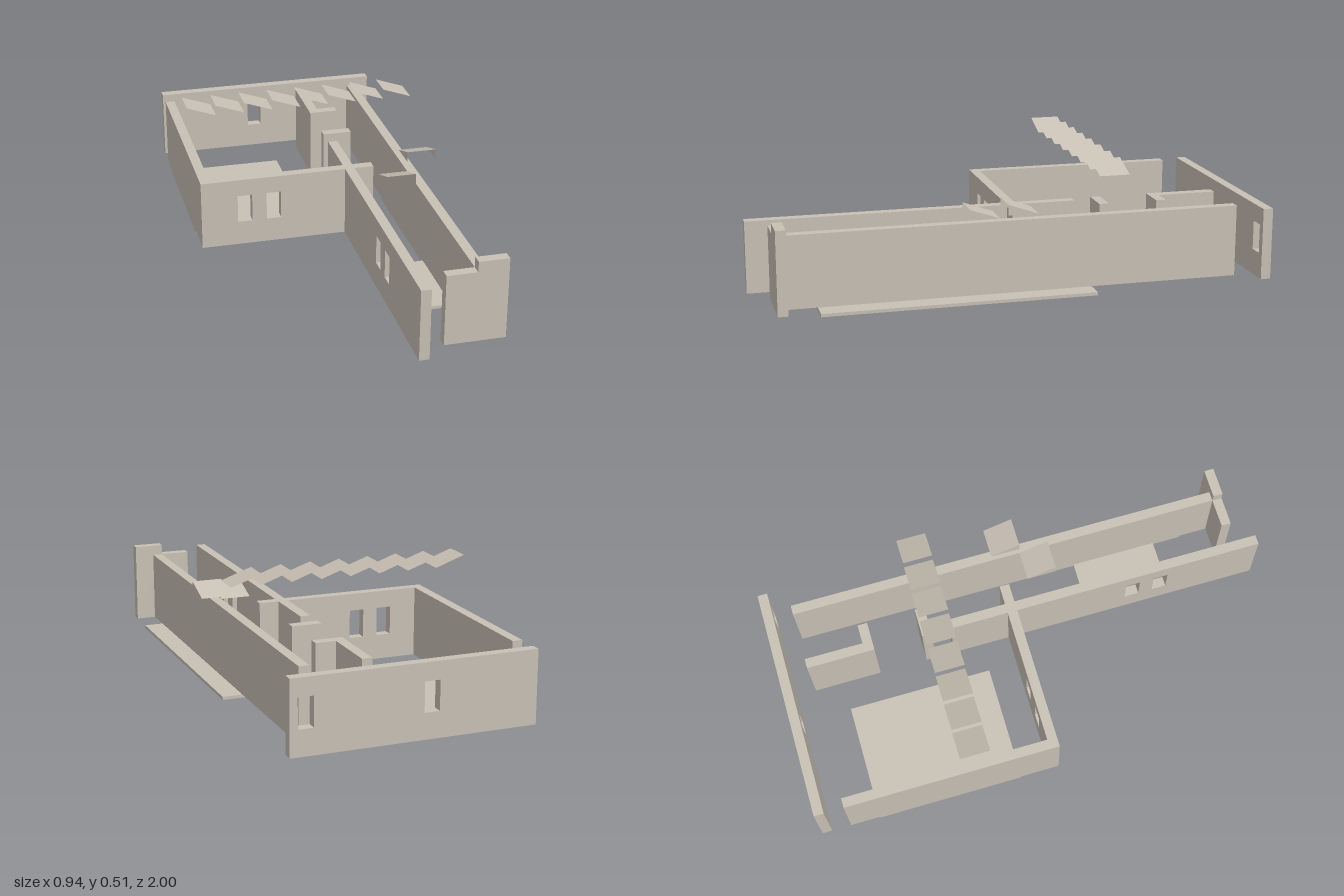
import * as THREE from 'three';

const U = 2 / 17;      // plan grid module
const T = U / 3;       // wall thickness
const BASE = 0.0125;   // top of the slabs, foot of the walls
const TOP = 0.295;     // wall top
const RISE = 0.35 * U; // rise of louvers, hoods and the parapet step
const SILL = 0.112, HEAD = 0.226;

export function createModel() {
  const model = new THREE.Group();
  model.name = 'house';
  const stone = new THREE.MeshStandardMaterial({ color: 0xc8c0b4, flatShading: true });
  const sheet = new THREE.MeshStandardMaterial({ color: 0xc8c0b4, flatShading: true, side: THREE.DoubleSide });

  const add = (name, geometry, material = stone) => {
    const mesh = new THREE.Mesh(geometry, material);
    mesh.name = name;
    model.add(mesh);
  };

  const block = (name, x0, x1, y0, y1, z0, z1) => add(name,
    new THREE.BoxGeometry(x1 - x0, y1 - y0, z1 - z0)
      .translate((x0 + x1) / 2, (y0 + y1) / 2, (z0 + z1) / 2));

  // Upright panel from a to b, pierced by half-module windows at the given centres
  const panel = (a, b, windows) => {
    const rect = (Kind, x0, x1, y0, y1) => new Kind([[x0, y0], [x1, y0], [x1, y1], [x0, y1]]
      .map(([x, y]) => new THREE.Vector2(x, y)));
    const shape = rect(THREE.Shape, a, b, BASE, TOP);
    for (const c of windows) shape.holes.push(rect(THREE.Path, c - U / 4, c + U / 4, SILL, HEAD));
    return new THREE.ExtrudeGeometry(shape, { depth: T, bevelEnabled: false });
  };
  const wallX = (name, x0, x1, z, windows = []) =>
    add(name, panel(x0, x1, windows).translate(0, 0, z));
  const wallZ = (name, x, z0, z1, windows = []) =>
    add(name, panel(z0, z1, windows).rotateY(-Math.PI / 2).translate(x + T, 0, 0));

  // Floor slabs
  block('roomSlab', -4 * U, 0, 0, BASE, -6.5 * U, -1.5 * U);
  block('entrySlab', 2 * U, 3 * U, 0, BASE, 2.5 * U, 5.5 * U);
  block('terraceSlab', 3 * U, 4 * U, 0, BASE, -2.5 * U, 6.5 * U);

  // Walls running across
  wallX('backWall', -4 * U, 4 * U, -8.5 * U, [-0.5 * U, 3.5 * U]);
  wallX('courtWall', -4 * U, 2 * U, -0.5 * U, [-2.5 * U, -1.5 * U]);
  wallX('backStubWall', U + T, 2 * U, -5.5 * U);
  wallX('pierWall', U, 2 * U, -3.5 * U);

  // Walls running front to back
  wallZ('rightWall', -4 * U, -7.5 * U, -0.5 * U);
  wallZ('innerBackWall', U, -7.5 * U, -5.5 * U + T);
  wallZ('innerLongWall', U, -2.5 * U, 8.5 * U, [4 * U, 5 * U]);
  wallZ('leftLongWall', 3 * U, -7.5 * U, 7.5 * U);

  // Stepped front wall
  block('frontWallLow', 2 * U, 3 * U, BASE, TOP, 7.5 * U, 7.5 * U + T);
  block('frontWallHigh', 3 * U, 4 * U, BASE, TOP + RISE, 7.5 * U, 7.5 * U + T);

  // Thin surface from a list of corner loops, each fanned into triangles
  const faces = (loops) => {
    const positions = [];
    for (const loop of loops)
      for (let i = 1; i < loop.length - 1; i++)
        positions.push(...loop[0], ...loop[i], ...loop[i + 1]);
    const geometry = new THREE.BufferGeometry();
    geometry.setAttribute('position', new THREE.Float32BufferAttribute(positions, 3));
    geometry.computeVertexNormals();
    return geometry;
  };

  // Row of tilted roof louvers
  for (let i = -4; i < 4; i++) {
    const x0 = i * U, x1 = x0 + U, hi = 4.3 * U, lo = hi - RISE, z0 = -3.5 * U, z1 = -2.5 * U;
    add('louver', faces([[[x0, hi, z1], [x1, lo, z1], [x1, lo, z0], [x0, hi, z0]]]), sheet);
  }

  // Skylight hoods: sloping top with triangular cheeks, open to the front
  const hood = (x0, y, z0) => {
    const x1 = x0 + U, z1 = z0 + U, h = y + RISE;
    add('skylightHood', faces([
      [[x0, h, z1], [x1, h, z1], [x1, y, z0], [x0, y, z0]],
      [[x0, y, z0], [x0, y, z1], [x0, h, z1]],
      [[x1, y, z1], [x1, y, z0], [x1, h, z1]],
    ]), sheet);
  };
  hood(2 * U, TOP, 0.5 * U);
  hood(3 * U, TOP + RISE, -0.5 * U);

  return model;
}
